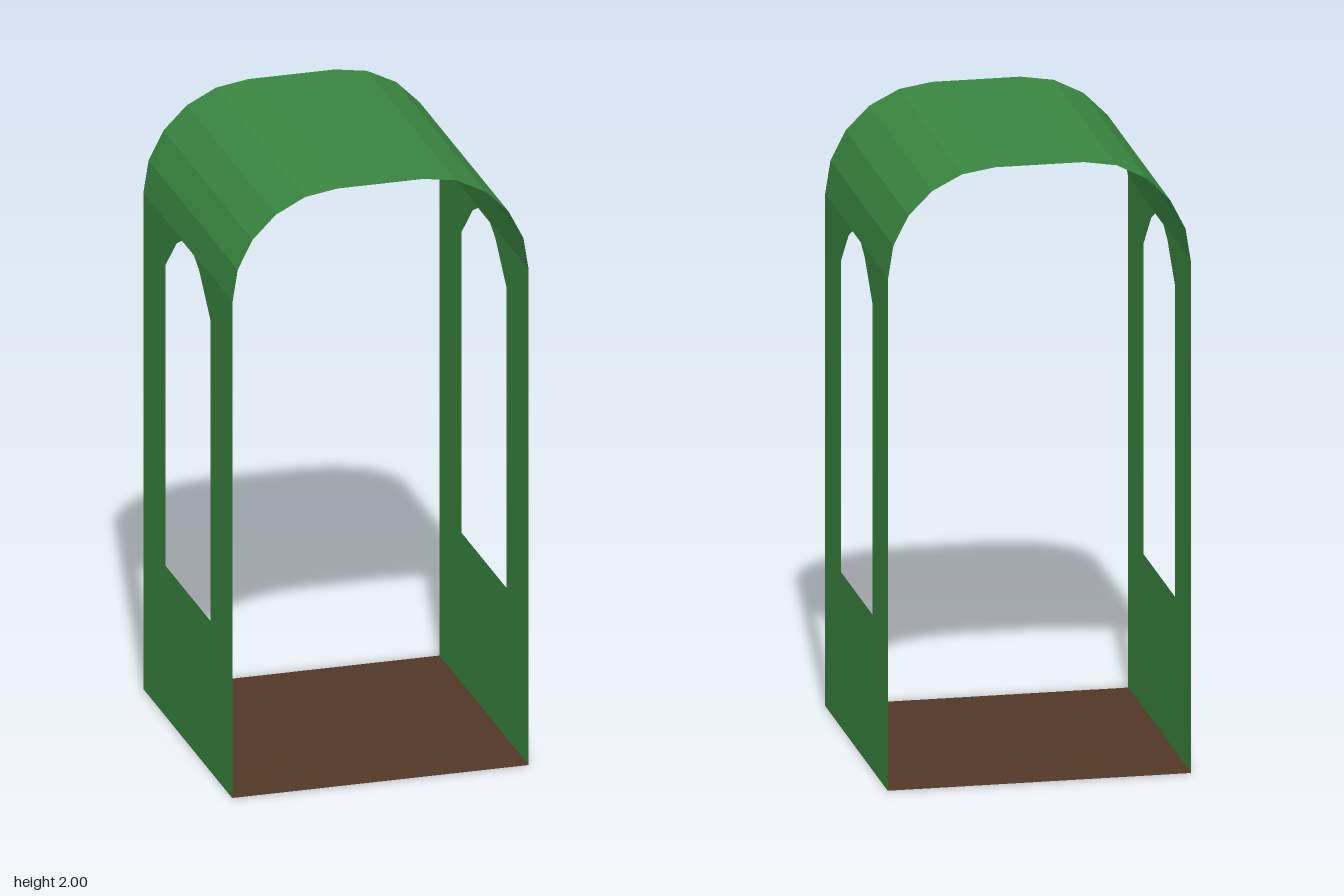
import * as THREE from 'three';

const HALF = 0.48;   // half width and half depth
const SPRING = 1.66; // height where the roof starts to curve
const RADIUS = 0.34; // roof corner radius

export function createModel() {
  const green = new THREE.MeshStandardMaterial({ color: 0x398640, side: THREE.DoubleSide, flatShading: true });
  green.name = 'green panel';
  const brown = new THREE.MeshStandardMaterial({ color: 0x523827, side: THREE.DoubleSide });
  brown.name = 'brown floor';

  const model = new THREE.Group();
  model.name = 'archedShelter';
  const add = (name, geometry, material) => {
    const mesh = new THREE.Mesh(geometry, material);
    mesh.name = name;
    model.add(mesh);
    return mesh;
  };
  const points = (list) => list.map(([x, y]) => new THREE.Vector2(x, y));

  // Side walls: thin sheets, each with an arched window
  const wall = new THREE.Shape(points([[-HALF, 0], [HALF, 0], [HALF, SPRING], [-HALF, SPRING]]));
  const arch = [[0.24, 0.503], [0.24, 1.51], [0.124, 1.625], [0.064, 1.657]];
  const mirrored = arch.map(([x, y]) => [-x, y]).reverse();
  wall.holes.push(new THREE.Path(points([...arch, ...mirrored])));
  for (const side of [-1, 1]) {
    const geometry = new THREE.ShapeGeometry(wall);
    geometry.rotateY(side * Math.PI / 2);
    add(side > 0 ? 'leftWall' : 'rightWall', geometry, green).position.x = side * HALF;
  }

  // Roof: a flat middle with a faceted quarter round on each side
  const profile = [];
  for (const side of [-1, 1]) {
    for (let i = 0; i <= 5; i++) {
      const a = (side < 0 ? 5 - i : i) * Math.PI / 10;
      profile.push([side * (HALF - RADIUS + RADIUS * Math.sin(a)), SPRING + RADIUS * Math.cos(a)]);
    }
  }
  const sheet = new THREE.PlaneGeometry(1, 2 * HALF, profile.length - 1, 1).rotateX(-Math.PI / 2);
  const p = sheet.attributes.position;
  for (let i = 0; i < p.count; i++) {
    const [x, y] = profile[i % profile.length];
    p.setXY(i, x, y);
  }
  const roof = sheet.toNonIndexed();
  roof.computeVertexNormals();
  add('roof', roof, green);

  // Floor: a slightly uneven sheet with a low rise on one side
  const floor = new THREE.PlaneGeometry(2 * HALF, 2 * HALF, 8, 8).rotateX(-Math.PI / 2);
  const f = floor.attributes.position;
  for (let i = 0; i < f.count; i++) {
    const x = f.getX(i), z = f.getZ(i);
    const across = Math.cos(z / HALF * Math.PI / 2);
    const rise = 0.025 * Math.exp(-(((x + 0.24) / 0.18) ** 2));
    const swell = 0.009 * Math.exp(-(((x - 0.22) / 0.2) ** 2));
    f.setY(i, 0.002 + across * (rise + swell));
  }
  floor.computeVertexNormals();
  add('floor', floor, brown);

  return model;
}
